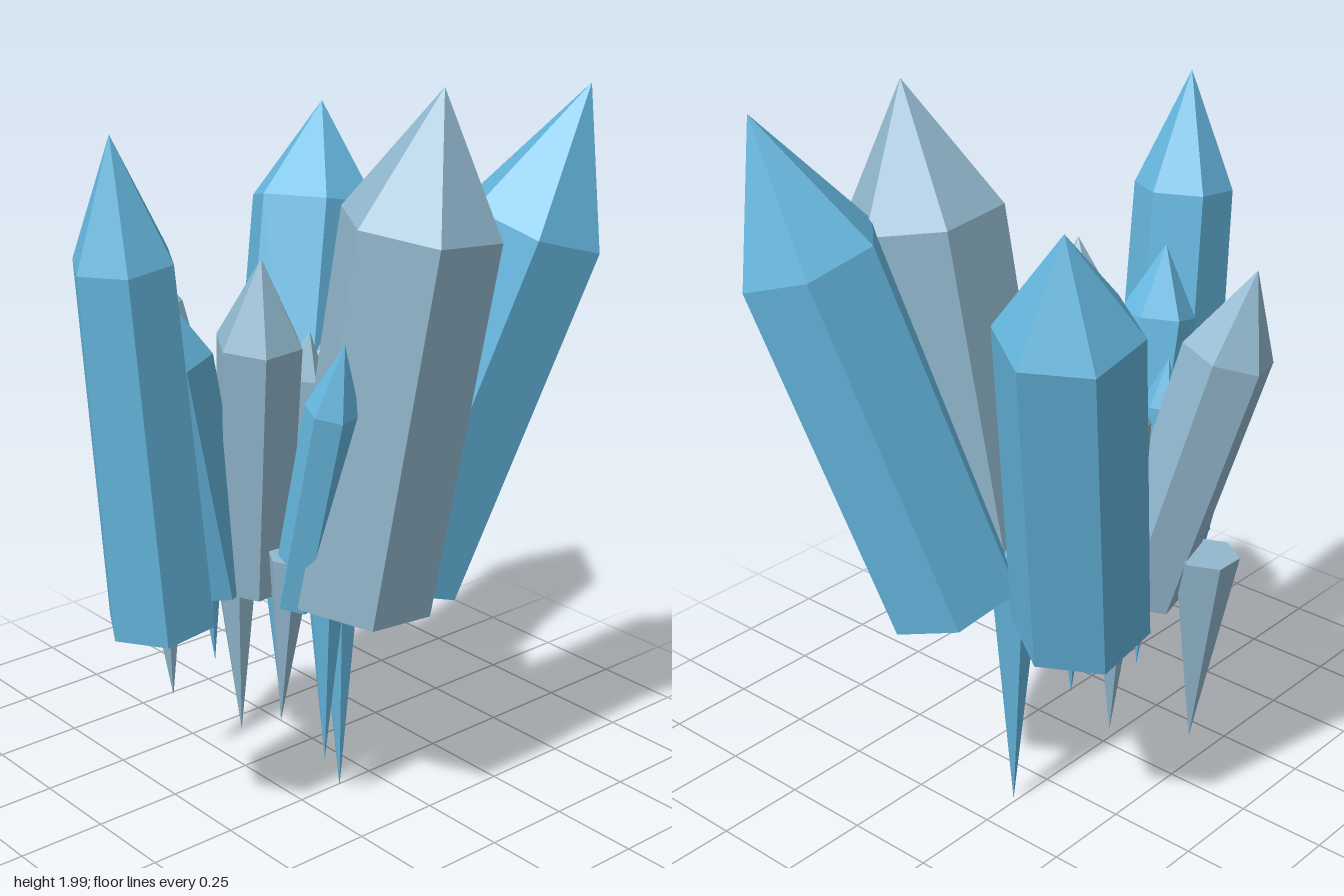
import * as THREE from 'three';

const blue = new THREE.MeshStandardMaterial({ color: 0x66b8e0, flatShading: true });
const greyBlue = new THREE.MeshStandardMaterial({ color: 0x92b8ce, flatShading: true });
const UP = new THREE.Vector3(0, 1, 0);

// Six-sided solid turned from a [radius, height] profile, aimed from one point to another
function hexSolid(name, material, from, to, profile, twist = 0) {
  const start = new THREE.Vector3(...from);
  const axis = new THREE.Vector3(...to).sub(start);
  const length = axis.length();
  const points = profile.map(([r, t]) => new THREE.Vector2(r, t * length));
  const mesh = new THREE.Mesh(new THREE.LatheGeometry(points, 6, twist), material);
  mesh.name = name;
  mesh.position.copy(start);
  mesh.quaternion.setFromUnitVectors(UP, axis.normalize());
  return mesh;
}

// Prism with a pointed cap; shoulder is the share of the length where the cap starts
const crystal = (name, material, base, tip, baseR, topR, shoulder, twist) =>
  hexSolid(name, material, base, tip, [[0, 0], [baseR, 0], [topR, shoulder], [0, 1]], twist);

// Flat-topped spike pointing down
const rootSpike = (name, material, tip, top, radius) =>
  hexSolid(name, material, tip, top, [[0, 0], [radius, 1], [0, 1]]);

export function createModel() {
  const model = new THREE.Group();
  model.name = 'crystalCluster';

  // Large crystals
  const large = [
    ['frontCrystal', blue, [-0.045, 0.67, 0.425], [-0.01, 1.93, 0.56], 0.145, 0.13, 0.76, 0],
    ['backLeftCrystal', blue, [0.1, 0.68, -0.25], [0.42, 1.98, -0.57], 0.19, 0.19, 0.73, -0.24],
    ['tallGreyCrystal', greyBlue, [0.16, 0.67, -0.055], [0.32, 2.0, -0.17], 0.2, 0.207, 0.75, 0],
    ['backRightCrystal', blue, [-0.235, 0.67, -0.14], [-0.41, 1.84, -0.415], 0.18, 0.178, 0.78, 0],
  ];

  // Medium crystals leaning outward
  const medium = [
    ['rightGreyCrystal', greyBlue, [-0.24, 0.67, 0.1], [-0.46, 1.58, 0.25], 0.11, 0.12, 0.76, 0.3],
    ['middleGreyCrystal', greyBlue, [-0.08, 0.67, 0.1], [0.025, 1.58, 0.15], 0.1, 0.115, 0.76, 0],
    ['innerFrontCrystal', blue, [-0.13, 0.67, 0.17], [-0.08, 1.52, 0.38], 0.09, 0.1, 0.79, 0.2],
    ['leftSmallCrystal', blue, [0.095, 0.68, 0.1], [0.28, 1.41, 0.1], 0.065, 0.07, 0.76, 0.2],
  ];

  // Small crystals filling the gaps
  const small = [
    ['rightSmallCrystal', blue, [-0.255, 0.67, 0.2], [-0.345, 1.21, 0.27], 0.068, 0.07, 0.86, 0.1],
    ['innerRightCrystal', blue, [-0.17, 0.67, 0.16], [-0.22, 1.29, 0.22], 0.05, 0.05, 0.8, 0],
    ['backSmallCrystal', greyBlue, [-0.12, 0.67, -0.03], [-0.15, 1.34, -0.26], 0.045, 0.045, 0.82, 0],
    ['innerBackCrystal', greyBlue, [-0.07, 0.67, 0.03], [-0.04, 1.34, -0.06], 0.055, 0.06, 0.82, 0.4],
    ['innerSideCrystal', greyBlue, [-0.2, 0.67, 0.05], [-0.3, 1.34, -0.03], 0.055, 0.055, 0.82, 0],
  ];
  for (const c of [...large, ...medium, ...small]) model.add(crystal(...c));

  // Spikes hanging below
  const spikes = [
    [greyBlue, [-0.37, 0.24, 0.16], [-0.4, 0.81, 0.17], 0.085],
    [blue, [-0.2, 0.41, 0.14], [-0.2, 0.81, 0.16], 0.05],
    [greyBlue, [-0.15, 0.2, 0.09], [-0.16, 0.81, 0.1], 0.075],
    [blue, [-0.07, 0.32, 0.02], [-0.07, 0.81, 0.02], 0.06],
    [blue, [0.01, 0.01, -0.13], [0.0, 0.81, -0.125], 0.075],
    [blue, [0.085, 0.17, -0.01], [0.1, 0.81, 0.0], 0.065],
    [greyBlue, [0.07, 0.33, 0.13], [0.1, 0.81, 0.12], 0.06],
  ];
  spikes.forEach((s, i) => model.add(rootSpike(`rootSpike${i + 1}`, ...s)));

  return model;
}
